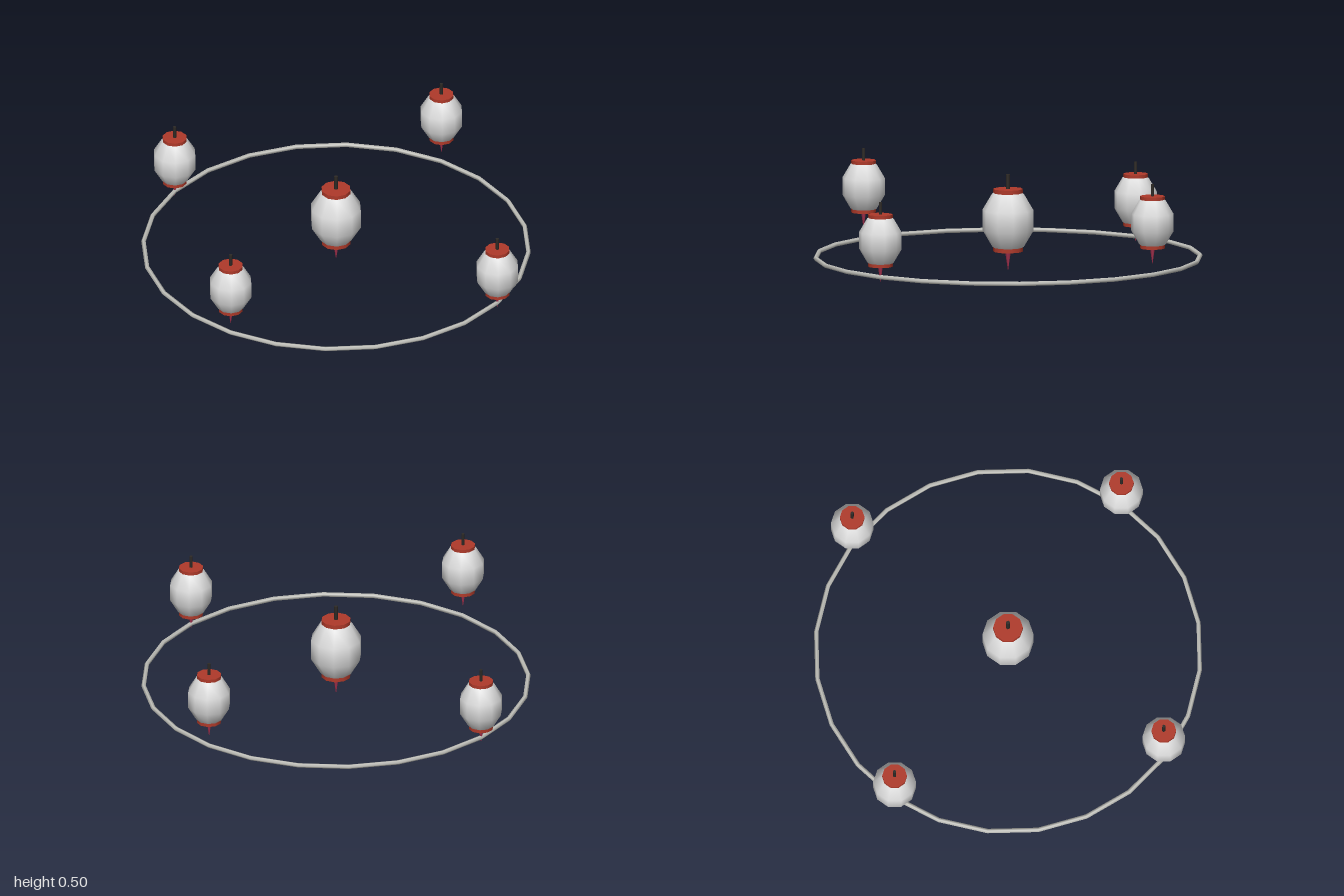
import * as THREE from 'three';

const material = (name, color) => {
  const m = new THREE.MeshStandardMaterial({ color });
  m.name = name;
  return m;
};

export function createModel() {
  const paper = material('pale paper', 0xdedede);
  const red = material('lacquer red', 0xb03a2a);
  const dark = material('dark metal', 0x2e2a26);
  const pink = material('tassel crimson', 0xa83250);
  const cord = material('ring grey', 0xc4c4be);

  // Lantern parts, centred on the middle of the paper body
  const profile = [[0.05, -0.113], [0.062, -0.104], [0.1, -0.04], [0.1, 0.04], [0.062, 0.104], [0.05, 0.113]]
    .map(([x, y]) => new THREE.Vector2(x, y));
  const bodyGeo = new THREE.LatheGeometry(profile, 10);
  const capGeo = new THREE.CylinderGeometry(0.058, 0.058, 0.016, 10);
  const rodGeo = new THREE.CylinderGeometry(0.008, 0.008, 0.06, 6);
  const tasselGeo = new THREE.ConeGeometry(0.012, 0.077, 6).rotateX(Math.PI);

  const group = new THREE.Group();
  const add = (parent, name, geo, mat, y) => {
    const mesh = new THREE.Mesh(geo, mat);
    mesh.name = name;
    mesh.position.y = y;
    parent.add(mesh);
  };

  const lantern = (name, x, y, z, scale) => {
    const g = new THREE.Group();
    g.name = name;
    add(g, 'lanternBody', bodyGeo, paper, 0);
    add(g, 'topCap', capGeo, red, 0.115);
    add(g, 'bottomCap', capGeo, red, -0.115);
    add(g, 'hangingRod', rodGeo, dark, 0.15);
    add(g, 'tassel', tasselGeo, pink, -0.1615);
    g.position.set(x, y, z);
    g.scale.setScalar(scale);
    group.add(g);
  };

  // One large lantern in the middle, four smaller ones over the ring
  lantern('centreLantern', 0, 0.24, 0, 1.2);
  lantern('leftLantern', 0.9, 0.24, 0, 1);
  lantern('rightLantern', -0.9, 0.24, 0, 1);
  lantern('frontLantern', 0, 0.315, 0.9, 1);
  lantern('backLantern', 0, 0.315, -0.9, 1);

  // Ring
  add(group, 'ring', new THREE.TorusGeometry(0.9, 0.011, 5, 24).rotateX(Math.PI / 2), cord, 0.067);
  return group;
}
